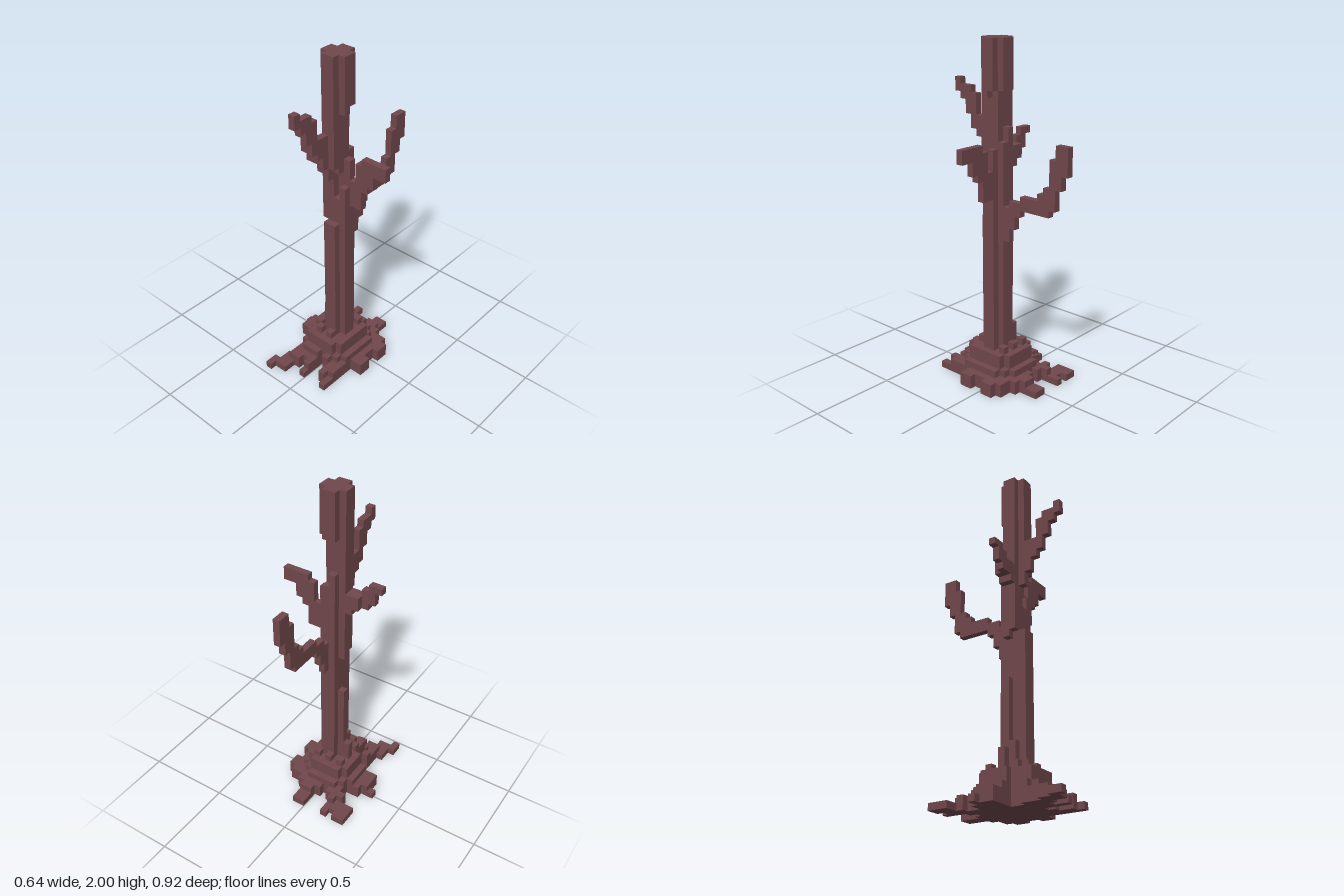
import * as THREE from 'three';
import { mergeGeometries } from 'three/addons/utils/BufferGeometryUtils.js';

const U = 0.04; // edge of one cube

// Block from cube indices [x0, x1, y0, y1, z0, z1], ends exclusive
function block([x0, x1, y0, y1, z0, z1]) {
  const g = new THREE.BoxGeometry((x1 - x0) * U, (y1 - y0) * U, (z1 - z0) * U);
  g.translate((x0 + x1) / 2 * U, (y0 + y1) / 2 * U, (z0 + z1) / 2 * U - 0.02);
  return g;
}

export function createModel() {
  const group = new THREE.Group();
  const bark = new THREE.MeshStandardMaterial({ color: 0x70474b });
  bark.name = 'bark';

  const part = (name, blocks) => {
    const mesh = new THREE.Mesh(mergeGeometries(blocks.map(block)), bark);
    mesh.name = name;
    group.add(mesh);
  };

  // Square core with a small hollow in its front left corner
  part('trunkCore', [
    [-1, 0, 0, 50, 1, 3], [0, 1, 0, 50, 1, 2],
    [0, 1, 0, 29, 2, 3], [0, 1, 33, 50, 2, 3],
  ]);

  // Broken bark ribs on the four sides of the core
  part('rightRib', [[-2, -1, 0, 18, 1, 2], [-2, -1, 0, 9, 2, 3], [-2, -1, 24, 50, 1, 2], [-2, -1, 25, 50, 2, 3]]);
  part('leftRib', [[1, 2, 0, 35, 1, 2], [1, 2, 0, 31, 2, 3], [1, 2, 43, 50, 1, 2], [1, 2, 42, 50, 2, 3]]);
  part('backRib', [[-1, 0, 0, 38, 0, 1], [0, 1, 0, 36, 0, 1], [-1, 1, 43, 50, 0, 1]]);
  part('frontRib', [[-1, 1, 0, 25, 3, 4], [-1, 0, 32, 50, 3, 4], [0, 1, 34, 50, 3, 4]]);

  // Branches, as [bottom, top] of each one-cube column going outward
  const back = [[22, 27], [24, 28], [26, 28], [27, 29], [27, 29], [27, 29], [27, 30], [27, 31], [28, 35], [31, 37], [33, 37]];
  part('backBranch', back.map(([a, b], n) => [0, 1, a, b, -1 - n, -n]));
  const left = [[28, 32], [28, 35], [31, 36], [32, 36], [34, 36], [34, 36]];
  part('leftBranch', left.map(([a, b], n) => [2 + n, 3 + n, a, b, 1, 2]));
  const front = [[34, 39], [36, 39], [37, 42], [39, 43], [41, 43], [42, 44]];
  part('frontBranch', front.map(([a, b], n) => [-1, 0, a, b, 4 + n, 5 + n]));
  const right = [[32, 35], [33, 35], [33, 36], [34, 37], [36, 37]];
  part('rightBranch', right.map(([a, b], n) => [-3 - n, -2 - n, a, b, n < 2 ? 1 : 2, n < 3 ? 2.999 : 3]));

  // Roots: depth spans for every row of cubes from right to left
  const spans = [
    [[0, 1]], [[-7, -4], [0, 3]], [[-7, -4], [-1, 3], [10, 12]], [[-6, -3], [-1, 3], [8, 11]],
    [[-7, 3], [5, 11]], [[-4, 9]], [[-3, 8]], [[-4, 10]], [[-7, 6]], [[-7, 7]],
    [[-4, 9]], [[-3, 10]], [[-3, 4]], [[-2, 0], [2, 4]],
  ];
  const heights = [7, 6, 5, 3, 2, 2, 1]; // by distance from the trunk
  const roots = [[-3, -2, 0, 8, 1, 2]];
  spans.forEach((row, r) => {
    const x = r - 8;
    for (const [z0, z1] of row) for (let z = z0; z < z1; z++) {
      const dx = x < -2 ? -2 - x : x > 1 ? x : 0;
      const dz = z < 0 ? -z : z > 3 ? z - 3 : 0;
      const d = Math.round(Math.hypot(dx, dz));
      roots.push([x, x + 1, 0, heights[Math.min(d, 6)] - (d === 1 && (x + z) % 2 ? 1 : 0), z, z + 1]);
    }
  });
  // Trim hidden or corner columns to the trunk's cross-shaped foot
  part('roots', roots.map(b => {
    const inTrunk = b[0] >= -2 && b[0] <= 1 && b[4] >= 0 && b[4] <= 3;
    return inTrunk ? [b[0], b[1], 0, 5, b[4], b[5]] : b;
  }));

  return group;
}
